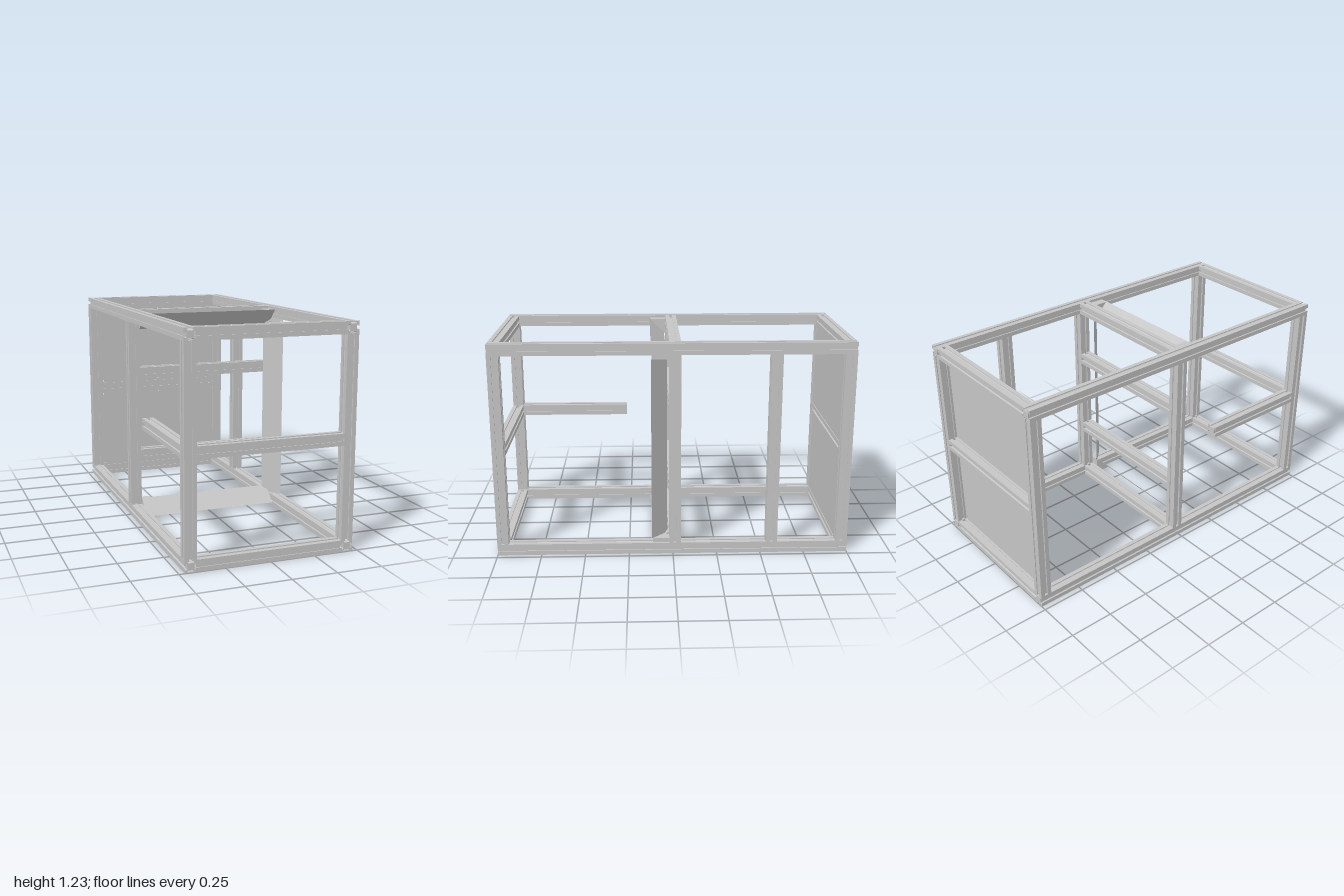
import * as THREE from 'three';

const H = 0.0325;                 // half width of a slotted bar
const X = 0.4375, TOP = 1.1925, BOT = 0.0325, MID = 0.6125, END = 0.9675, CEN = -0.0125;
const IN = X - H;                 // inner face of the side rails
const vectors = points => points.map(p => new THREE.Vector2(...p));

// Cross-section: solid core with one shallow T-slot on each of the four sides
function slotProfile() {
  const side = [[-H, H], [-0.009, H], [-0.009, 0.0275], [-0.0175, 0.0275], [-0.0175, 0.0235], [-0.0125, 0.0185],
    [0.0125, 0.0185], [0.0175, 0.0235], [0.0175, 0.0275], [0.009, 0.0275], [0.009, H]];
  const pts = [];
  for (let k = 0; k < 4; k++) {
    const c = Math.round(Math.cos(k * Math.PI / 2)), s = Math.round(Math.sin(k * Math.PI / 2));
    for (const [x, y] of side) pts.push([x * c + y * s, -x * s + y * c]);
  }
  return new THREE.Shape(vectors(pts));
}

export function createModel() {
  const model = new THREE.Group();
  model.name = 'slottedFrame';
  const metal = new THREE.MeshStandardMaterial({ color: 0xc6c6c6, side: THREE.DoubleSide });
  metal.name = 'grey aluminium';
  const profile = slotProfile();

  function add(name, geometry, x = 0, y = 0, z = 0) {
    const mesh = new THREE.Mesh(geometry, metal);
    mesh.name = name;
    mesh.position.set(x, y, z);
    model.add(mesh);
  }

  // Bar of a given length, centred on a point and laid along one axis
  function bar(name, axis, length, x, y, z) {
    const g = new THREE.ExtrudeGeometry(profile, { depth: length, bevelEnabled: false });
    g.translate(0, 0, -length / 2);
    if (axis === 'x') g.rotateY(Math.PI / 2);
    if (axis === 'y') g.rotateX(Math.PI / 2);
    add(name, g, x, y, z);
  }

  // Long rails and uprights on both sides
  const postLength = TOP - BOT - 2 * H, postY = (TOP + BOT) / 2;
  for (const s of [-1, 1]) {
    for (const y of [BOT, TOP]) bar('longRail', 'z', 2, s * X, y, 0);
    for (const z of [END, CEN, -END]) bar('upright', 'y', postLength, s * X, postY, z);
  }
  bar('extraUpright', 'y', postLength, X, postY, -0.565);

  // Crossbars at the front, middle and back
  for (const z of [END, CEN, -END])
    for (const y of [BOT, TOP]) bar('crossbar', 'x', 2 * IN, 0, y, z);
  for (const z of [END, -END]) bar('middleCrossbar', 'x', 2 * IN, 0, MID, z);
  for (const y of [0.3675, 0.8575]) bar('innerCrossbar', 'x', 2 * IN, 0, y, CEN);

  // Arm reaching back from the front upright
  bar('supportArm', 'z', 0.665, -X, MID, 0.6025);

  // Back panels set near the inner face of the back frame, with small screw holes
  function backPanel(y0, y1) {
    const shape = new THREE.Shape(vectors([[-IN, y0], [IN, y0], [IN, y1], [-IN, y1]]));
    for (const x of [-0.393, 0, 0.393])
      for (const y of [y0 + 0.013, y1 - 0.013])
        shape.holes.push(new THREE.Path().absarc(x, y, 0.004, 0, Math.PI * 2, true));
    add('backPanel', new THREE.ExtrudeGeometry(shape, { depth: 0.006, bevelEnabled: false, curveSegments: 5 }), 0, 0, -0.945);
  }
  backPanel(BOT + H, MID - H);
  backPanel(MID + H, TOP - H);

  // Plates at 45 degrees, flaring forward from the middle frame, mitred on the left
  function plate(name, corners) {
    const g = new THREE.BufferGeometry();
    g.setAttribute('position', new THREE.Float32BufferAttribute(corners.flat(), 3));
    g.setIndex([0, 1, 2, 0, 2, 3, 0, 3, 4, 0, 4, 5].slice(0, (corners.length - 2) * 3));
    g.computeVertexNormals();
    add(name, g);
  }
  const zi = 0.03, zo = 0.12, run = zo - zi, xi = 0.37, low = 0.105, high = 1.12;
  const m = IN - xi, k = 0.015;
  plate('bottomPlate', [[-IN, low, zi], [-IN, low - run, zo], [IN, low - run, zo], [IN, low - m, zi + m], [xi, low, zi]]);
  plate('topPlate', [[-IN, high, zi], [xi, high, zi], [IN, high + m, zi + m], [IN, high + run, zo], [-IN, high + run, zo]]);
  plate('sidePlate', [[xi, low, zi], [xi + k, low - k, zi + k], [xi + run, low - k, zo],
    [xi + run, high + k, zo], [xi + k, high + k, zi + k], [xi, high, zi]]);

  // Triangular brackets between the plates and the middle frame
  const wedge = (tip, out, depth) => new THREE.ExtrudeGeometry(
    new THREE.Shape(vectors([[-0.02, tip], [-0.02, out], [-0.115, out]])), { depth, bevelEnabled: false }).rotateY(Math.PI / 2);
  for (const x of [-IN, IN - 0.05]) {
    add('topBracket', wedge(high - 0.005, high + run, 0.05), x);
    add('bottomBracket', wedge(low + 0.005, low - run, 0.05), x);
  }
  for (const y of [BOT + H + 0.025, TOP - H])
    add('sideBracket', wedge(xi + 0.005, xi + run, 0.025).rotateZ(-Math.PI / 2), 0, y);
  return model;
}
